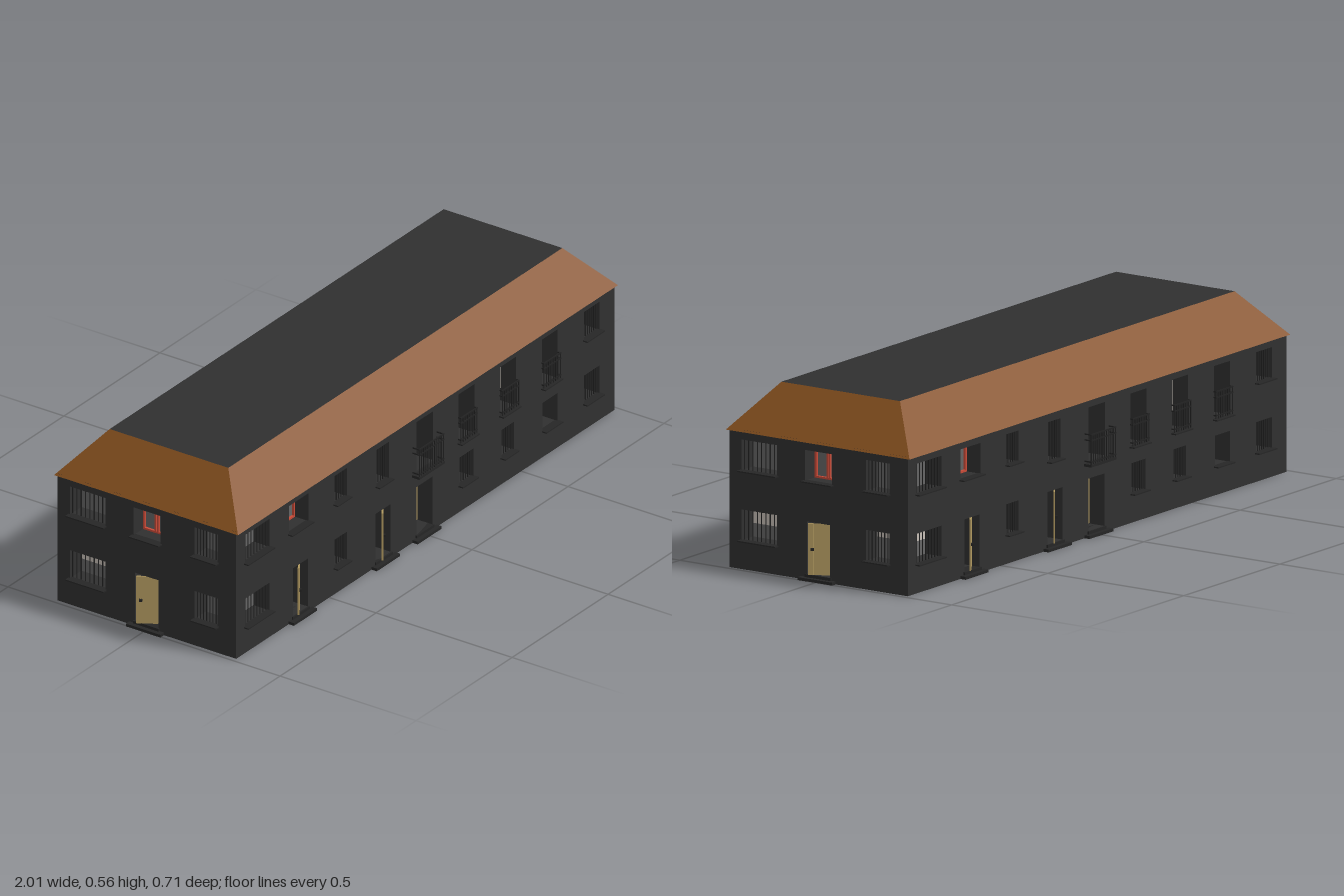
import * as THREE from 'three';

const mat = (color, side = THREE.FrontSide) => new THREE.MeshStandardMaterial({ color, side });
const M = {
  wall: mat(0x303030, THREE.DoubleSide),
  iron: mat(0x222222),
  stone: mat(0x262626),
  roof: mat(0x86501f, THREE.DoubleSide),
  glass: mat(0x666666, THREE.DoubleSide),
  blind: mat(0xc6beb6, THREE.DoubleSide),
  red: mat(0xc84a38),
  wood: mat(0xb29a60),
};
const HX = 0.985, HZ = 0.328, WALL_TOP = 0.43, DEPTH = 0.06;

function add(parent, name, geometry, material, x = 0, y = 0, z = 0) {
  const m = new THREE.Mesh(geometry, material);
  m.name = name;
  m.position.set(x, y, z);
  parent.add(m);
  return m;
}
const box = (p, name, material, w, h, d, x, y, z) =>
  add(p, name, new THREE.BoxGeometry(w, h, d), material, x, y, z);

// Four reveal faces around an opening, running into the house
function reveal(g, w, h, x, y) {
  for (const s of [-1, 1]) {
    add(g, 'sideReveal', new THREE.PlaneGeometry(DEPTH, h), M.wall, x + s * w / 2, y, -DEPTH / 2)
      .rotation.y = -s * Math.PI / 2;
    add(g, 'flatReveal', new THREE.PlaneGeometry(w, DEPTH), M.wall, x, y + s * h / 2, -DEPTH / 2)
      .rotation.x = s * Math.PI / 2;
  }
}

// Evenly spaced upright bars
function bars(g, x0, x1, y0, y1, z, step, t = 0.0025) {
  const n = Math.max(2, Math.round((x1 - x0) / step));
  for (let i = 0; i <= n; i++)
    box(g, 'bar', M.iron, t, y1 - y0, t, x0 + (x1 - x0) * i / n, (y0 + y1) / 2, z);
}

// Railing with front bars, rails and side returns to the wall
function railing(g, x0, x1, y0, y1, z) {
  bars(g, x0, x1, y0, y1, z, 0.0115);
  const cx = (x0 + x1) / 2;
  for (const y of [y0 + 0.01, y1 - 0.018, y1]) {
    box(g, 'rail', M.iron, x1 - x0 + 0.004, 0.004, 0.004, cx, y, z);
    for (const x of [x0, x1]) box(g, 'railReturn', M.iron, 0.003, 0.004, z, x, y, z / 2);
  }
}

function windowUnit(g, { x0, x1, y0, y1, blind = 0, barStep = 0, frame, rail, balcony }) {
  const w = x1 - x0, h = y1 - y0, x = (x0 + x1) / 2, y = (y0 + y1) / 2;
  reveal(g, w, h, x, y);
  add(g, 'glass', new THREE.PlaneGeometry(w, h), M.glass, x, y, -DEPTH);
  if (blind) add(g, 'blind', new THREE.PlaneGeometry(w, h * blind), M.blind, x, y1 - h * blind / 2, -DEPTH + 0.002);
  if (barStep) bars(g, x0 + 0.002, x1 - 0.002, y0, y1, -0.012, barStep);
  if (frame) {
    // Two red casements
    const t = 0.006, z = -DEPTH + 0.006;
    for (const dx of [-w / 2 + t / 2, -t / 2 - 0.001, t / 2 + 0.001, w / 2 - t / 2])
      box(g, 'frameStile', M.red, t, h, 0.008, x + dx, y, z);
    for (const s of [-1, 1]) box(g, 'frameRail', M.red, w, t, 0.008, x, y + s * (h - t) / 2, z);
  }
  if (balcony) {
    box(g, 'balconyFloor', M.stone, 0.132, 0.008, 0.027, x, 0.226, 0.0135);
    railing(g, x - 0.063, x + 0.063, 0.228, 0.322, 0.0245);
  } else {
    box(g, 'sill', M.stone, w + 0.01, 0.004, 0.027, x, y0 - 0.001, 0.0035);
  }
  if (rail) railing(g, x0 - 0.001, x1 + 0.001, 0.238, 0.322, 0.009);
}

function doorUnit(g, { x0, x1, y0, y1, open }) {
  const w = x1 - x0, h = y1 - y0, x = (x0 + x1) / 2, y = (y0 + y1) / 2;
  reveal(g, w, h, x, y);
  if (open) add(g, 'doorwayBack', new THREE.PlaneGeometry(w, h), M.wall, x, y, -DEPTH);
  // Planked leaf hinged on its right edge
  const leaf = new THREE.Group();
  leaf.name = 'doorLeaf';
  leaf.position.set(x1 - 0.001, y, open ? -0.03 : -DEPTH + 0.004);
  leaf.rotation.y = open;
  const n = 5, p = (w - 0.002) / n;
  for (let i = 0; i < n; i++)
    box(leaf, 'plank', M.wood, p - 0.001, h - 0.003, 0.005, -p * (i + 0.5), 0, 0);
  box(leaf, 'backing', M.wood, w - 0.004, h - 0.003, 0.003, -w / 2, 0, -0.001);
  box(leaf, 'handle', M.iron, 0.01, 0.008, 0.008, -w * 0.82, 0, 0.005);
  g.add(leaf);
  box(g, 'doorStep', M.stone, w + 0.042, 0.009, 0.05, x, 0.0045, -0.006);
  box(g, 'threshold', M.stone, w + 0.01, 0.009, 0.04, x, 0.0135, -0.015);
}

// A wall sheet pierced by its windows and doors, facing +z
function facade(name, half, openings) {
  const g = new THREE.Group();
  g.name = name;
  const s = new THREE.Shape();
  s.moveTo(-half, 0).lineTo(half, 0).lineTo(half, WALL_TOP).lineTo(-half, WALL_TOP).closePath();
  for (const o of openings) {
    const hole = new THREE.Path();
    hole.moveTo(o.x0, o.y0).lineTo(o.x0, o.y1).lineTo(o.x1, o.y1).lineTo(o.x1, o.y0).closePath();
    s.holes.push(hole);
    if (o.door) doorUnit(g, o);
    else windowUnit(g, o);
  }
  add(g, 'wall', new THREE.ShapeGeometry(s), M.wall);
  return g;
}

const upper = (x0, x1, o = {}) => ({ x0, x1, y0: 0.305, y1: 0.4, ...o });
const tall = (x0, x1, o = {}) => ({ x0, x1, y0: 0.235, y1: 0.4, ...o });
const lower = (x0, x1, o = {}) => ({ x0, x1, y0: 0.089, y1: 0.184, ...o });
const door = (x0, x1, open) => ({ x0, x1, y0: 0.018, y1: 0.18, door: true, open });

const longWall = [
  upper(-0.94, -0.81, { barStep: 0.0165 }),
  upper(-0.71, -0.607, { frame: true, blind: 0.14 }),
  upper(-0.473, -0.408, { barStep: 0.012, blind: 0.15 }),
  { x0: -0.255, x1: -0.19, y0: 0.272, y1: 0.395, barStep: 0.012, blind: 0.25 },
  tall(-0.045, 0.04, { balcony: true }),
  tall(0.174, 0.256, { rail: true, blind: 0.15 }),
  tall(0.39, 0.473, { rail: true, blind: 0.75 }),
  tall(0.607, 0.69, { rail: true, blind: 0.13 }),
  upper(0.826, 0.908, { barStep: 0.012 }),
  lower(-0.94, -0.81, { barStep: 0.0165, blind: 0.5 }),
  door(-0.69, -0.612, 0.58),
  lower(-0.473, -0.408, { barStep: 0.012, blind: 0.2 }),
  door(-0.258, -0.18, 0.62),
  door(-0.045, 0.037, 0),
  lower(0.178, 0.252, { barStep: 0.012 }),
  lower(0.398, 0.463, { barStep: 0.012 }),
  lower(0.612, 0.69, { blind: 0.35 }),
  lower(0.826, 0.908, { barStep: 0.012, blind: 0.33 }),
];
const endWall = [
  upper(-0.283, -0.153, { barStep: 0.0165 }),
  upper(-0.05, 0.05, { frame: true, blind: 0.14 }),
  upper(0.175, 0.26, { barStep: 0.012 }),
  lower(-0.283, -0.153, { barStep: 0.0165, blind: 0.55 }),
  door(-0.043, 0.042, 0.55),
  lower(0.175, 0.26, { barStep: 0.012, blind: 0.33 }),
];

// Four sloping sides, each from eave to flat top
function roofSlopes() {
  const ring = (x, y, z) => [[-x, y, z], [x, y, z], [x, y, -z], [-x, y, -z]];
  const a = ring(0.99, 0.424, 0.338), b = ring(0.87, 0.565, 0.218);
  const pos = [];
  for (let i = 0; i < 4; i++) {
    const j = (i + 1) % 4;
    for (const v of [a[i], a[j], b[j], a[i], b[j], b[i]]) pos.push(...v);
  }
  const geo = new THREE.BufferGeometry();
  geo.setAttribute('position', new THREE.Float32BufferAttribute(pos, 3));
  geo.computeVertexNormals();
  return geo;
}

export function createModel() {
  const house = new THREE.Group();
  house.name = 'house';
  // Opposite walls repeat with a half turn
  for (let i = 0; i < 4; i++) {
    const end = i % 2 === 1;
    const f = facade(['frontWall', 'leftWall', 'backWall', 'rightWall'][i], end ? HZ : HX, end ? endWall : longWall);
    const a = i * Math.PI / 2, d = end ? HX : HZ;
    f.rotation.y = a;
    f.position.set(Math.sin(a) * d, 0, Math.cos(a) * d);
    house.add(f);
  }
  add(house, 'roofSlopes', roofSlopes(), M.roof);
  add(house, 'flatRoof', new THREE.PlaneGeometry(1.74, 0.436), M.wall, 0, 0.565, 0).rotation.x = -Math.PI / 2;
  return house;
}
